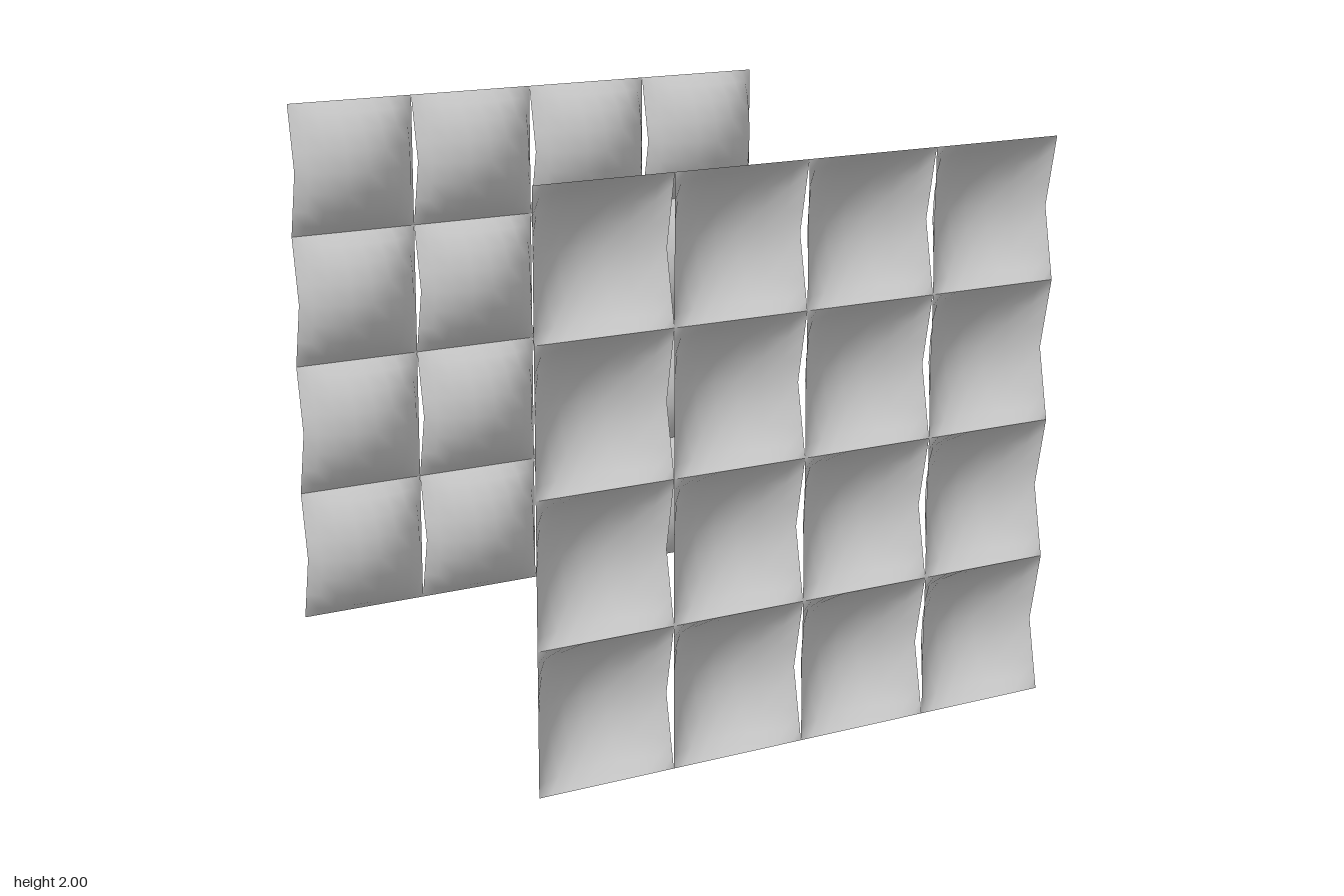
import * as THREE from 'three';

const CELL = 0.5, COUNT = 4, DEPTH = 0.17, RIM = 0.05, SEGMENTS = 8;
const HALF = CELL / 2;
const RADIUS = (HALF * HALF + DEPTH * DEPTH) / (2 * DEPTH);
const ANGLE = Math.asin(HALF / RADIUS);

// Circular arc across a cell: 1 in the middle, 0 at the edges
const arc = (d) => Math.max(0, Math.sqrt(RADIUS * RADIUS - d * d) - (RADIUS - DEPTH)) / DEPTH;

// Even steps along the arc rather than across the chord
const spread = (d) => RADIUS * Math.sin((d / HALF) * ANGLE);

// One open cushion, hollow towards +z, with a slightly raised rim on its +x edge
function cushionGeometry() {
  const geometry = new THREE.PlaneGeometry(CELL, CELL, SEGMENTS, SEGMENTS);
  const p = geometry.attributes.position;
  for (let i = 0; i < p.count; i++) {
    const x = spread(p.getX(i));
    const y = spread(p.getY(i));
    const lift = Math.max(0, (x - 0.12) / (HALF - 0.12)) ** 2;
    const rim = RIM * lift * (1 - Math.abs(y) / HALF);
    p.setXYZ(i, x, y, -DEPTH * arc(x) * arc(y) - rim);
  }
  geometry.computeVertexNormals();
  return geometry;
}

// A wall of square cushions standing at z = 1
function cushionWall(name, geometry, material) {
  const wall = new THREE.Group();
  wall.name = name;
  for (let row = 0; row < COUNT; row++) {
    for (let column = 0; column < COUNT; column++) {
      const cushion = new THREE.Mesh(geometry, material);
      cushion.name = `cushion${row + 1}_${column + 1}`;
      cushion.position.set(-1 + CELL * (column + 0.5), CELL * (row + 0.5), 1);
      wall.add(cushion);
    }
  }
  return wall;
}

export function createModel() {
  const model = new THREE.Group();
  model.name = 'cushionedWalls';
  const material = new THREE.MeshStandardMaterial({ color: 0xcccccc, side: THREE.DoubleSide });
  const geometry = cushionGeometry();

  // Two facing walls, bulging towards each other
  const front = cushionWall('frontWall', geometry, material);
  const back = cushionWall('backWall', geometry, material);
  back.rotation.y = Math.PI;
  model.add(front, back);
  return model;
}
